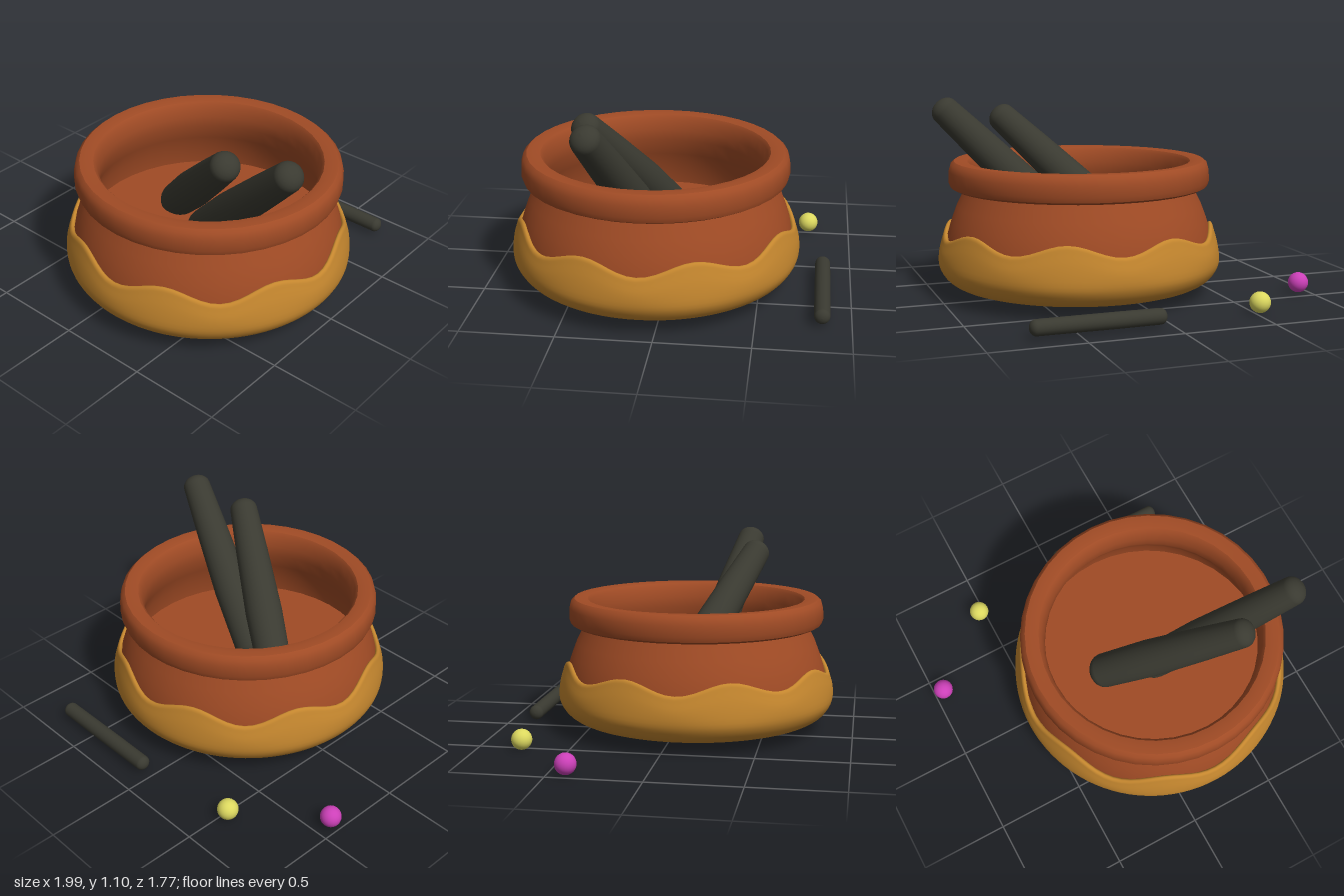
import * as THREE from 'three';
import { mergeVertices, toCreasedNormals } from 'three/addons/utils/BufferGeometryUtils.js';

const mat = (name, color) => new THREE.MeshStandardMaterial({ name, color });
const points = (list) => list.map(([r, y]) => new THREE.Vector2(r, y));

// Smooth closed outline resampled from a few points
const smooth = (list, n) => new THREE.SplineCurve(points(list)).getPoints(n);

export function createModel() {
  const model = new THREE.Group();
  const terracotta = mat('terracotta', 0xa04b25);
  const glaze = mat('ochreGlaze', 0xc4862e);
  const charcoal = mat('charcoal', 0x3a3a31);
  const lemon = mat('lemon', 0xdcd85f);
  const magenta = mat('magenta', 0xcc40b8);

  const add = (parent, name, geometry, material, x = 0, y = 0, z = 0) => {
    const mesh = new THREE.Mesh(geometry, material);
    mesh.name = name;
    mesh.position.set(x, y, z);
    parent.add(mesh);
    return mesh;
  };

  const pot = new THREE.Group();
  pot.name = 'pot';
  pot.position.set(0.197, 0, 0.085);
  model.add(pot);

  // Pot body: base, belly, neck, rolled rim, inner wall and floor
  const potProfile = [
    [0, 0.065], [0.66, 0.065], [0.72, 0.1], [0.755, 0.18], [0.757, 0.26], [0.742, 0.35],
    [0.72, 0.42], [0.69, 0.5], [0.66, 0.56], [0.642, 0.605],
    [0.7, 0.6], [0.722, 0.612], [0.732, 0.64], [0.73, 0.7], [0.72, 0.735], [0.7, 0.753], [0.66, 0.755],
    [0.625, 0.748], [0.61, 0.73], [0.597, 0.66], [0.597, 0.6],
    [0.635, 0.5], [0.675, 0.4], [0.69, 0.3], [0, 0.3],
  ];
  add(pot, 'potBody', toCreasedNormals(new THREE.LatheGeometry(points(potProfile), 40), 0.6), terracotta);

  // Glaze band: its upper lip rises and falls in eight waves
  const outer = smooth([
    [0.655, 0.064], [0.7, 0.07], [0.75, 0.1], [0.785, 0.15], [0.795, 0.2],
    [0.787, 0.27], [0.77, 0.33], [0.762, 0.355], [0.75, 0.365], [0.738, 0.358], [0.728, 0.33],
  ], 26);
  let band = new THREE.LatheGeometry(outer, 96);
  const pos = band.attributes.position;
  for (let i = 0; i < pos.count; i++) {
    const x = pos.getX(i), y = pos.getY(i), z = pos.getZ(i);
    const t = THREE.MathUtils.smoothstep(y, 0.16, 0.36);
    const wave = -0.033 * t * Math.cos(8 * Math.atan2(x, z));
    const s = 1 - 0.3 * wave / 0.76;
    pos.setXYZ(i, x * s, y + wave, z * s);
  }
  band.deleteAttribute('uv');
  band.deleteAttribute('normal');
  band = mergeVertices(band, 1e-4);
  band.computeVertexNormals();
  add(pot, 'glazeBand', band, glaze);

  // Rounded tapered rod between two end centres
  const rod = (name, from, to, r0, rMid, r1) => {
    const a = new THREE.Vector3(...from), b = new THREE.Vector3(...to);
    const axis = b.clone().sub(a), len = axis.length();
    const profile = [];
    for (let i = 0; i <= 6; i++) {
      const t = i / 6 * Math.PI / 2;
      profile.push([r0 * Math.sin(t), -r0 * 0.8 * Math.cos(t)]);
    }
    profile.push([rMid, len * 0.35], [(rMid + r1) / 2, len * 0.72]);
    for (let i = 0; i <= 6; i++) {
      const t = i / 6 * Math.PI / 2;
      profile.push([r1 * Math.cos(t), len + r1 * 0.8 * Math.sin(t)]);
    }
    const mesh = add(model, name, new THREE.LatheGeometry(points(profile), 24), charcoal, ...from);
    mesh.quaternion.setFromUnitVectors(new THREE.Vector3(0, 1, 0), axis.normalize());
  };
  rod('frontStick', [-0.075, 0.33, 0.035], [0.562, 0.975, 0.395], 0.1, 0.107, 0.08);
  rod('rearStick', [0.2, 0.31, 0.115], [0.905, 1.025, 0.33], 0.1, 0.107, 0.08);
  rod('looseStick', [0.07, 0.057, -0.845], [0.72, 0.057, -0.845], 0.042, 0.043, 0.042);

  // Loose beads
  const bead = new THREE.SphereGeometry(0.057, 24, 16);
  add(model, 'yellowBead', bead, lemon, -0.53, 0.058, -0.755);
  add(model, 'magentaBead', bead, magenta, -0.943, 0.058, -0.405);

  return model;
}
